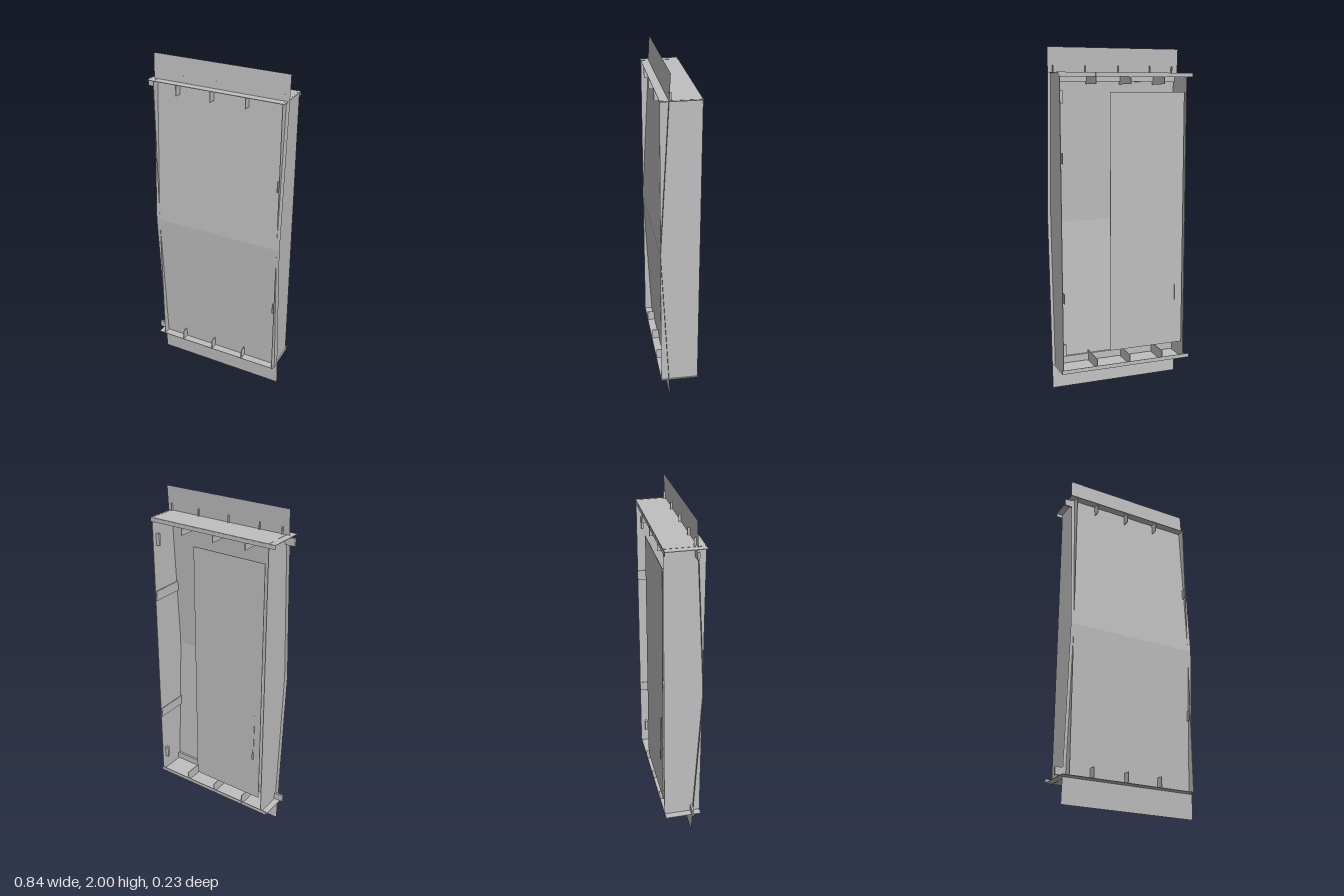
import * as THREE from 'three';

const steel = new THREE.MeshStandardMaterial({ color: 0xbfbfbf, side: THREE.DoubleSide });
steel.name = 'plain grey steel';

const T = 0.003; // sheet thickness
const MID_X = 0.02; // centre line of the frame

export function createModel() {
  const model = new THREE.Group();
  model.name = 'framedPanel';

  const add = (name, geometry) => {
    const mesh = new THREE.Mesh(geometry, steel);
    mesh.name = name;
    model.add(mesh);
    return mesh;
  };

  // Box given by its limits on each axis
  const box = (name, [x0, x1], [y0, y1], [z0, z1]) => {
    const mesh = add(name, new THREE.BoxGeometry(x1 - x0, y1 - y0, z1 - z0));
    mesh.position.set((x0 + x1) / 2, (y0 + y1) / 2, (z0 + z1) / 2);
    return mesh;
  };

  // Front sheet, folded outward along its horizontal centre line
  for (const top of [false, true]) {
    const sheet = new THREE.PlaneGeometry(0.8, 1);
    sheet.translate(MID_X, top ? 1.5 : 0.5, 0);
    const p = sheet.attributes.position;
    for (let i = 0; i < p.count; i++) {
      p.setZ(i, 0.115 - 0.055 * Math.abs(p.getY(i) - 1));
    }
    sheet.computeVertexNormals();
    add(top ? 'upperFrontSheet' : 'lowerFrontSheet', sheet);
  }

  // Side plates with straps on the inner faces
  for (const s of [-1, 1]) {
    const x = MID_X + s * 0.38;
    box('sidePlate', [x - T / 2, x + T / 2], [0.14, 1.86], [-0.105, 0.113]);
  }
  for (const y of [0.59, 1.39]) {
    box('sideStrap', [0.388, 0.392], [y - 0.03, y + 0.03], [-0.107, 0.115]);
  }

  // Top and bottom assemblies are mirrored about mid height
  for (const top of [false, true]) {
    const range = (a, b) => (top ? [2 - b, 2 - a] : [a, b]);
    const end = top ? 'top' : 'bottom';
    box(end + 'Plate', [-0.4, 0.41], range(0.141, 0.144), [-0.106, 0.113]);
    box(end + 'BackLip', [-0.4, 0.41], range(0.144, 0.165), [-0.107, -0.104]);
    box(end + 'Rail', [-0.42, 0.4], range(0.148, 0.19), [0.054, 0.066]);
    for (const x of [-0.22, -0.013, 0.193]) {
      box(end + 'Rib', [x - 0.002, x + 0.002], range(0.144, 0.205), [-0.108, 0.113]);
    }
    // Small latch inside the open bay
    box(end + 'Latch', [0.375, 0.397], range(0.24, 0.31), [-0.08, -0.065]);
  }

  // Thin tabs standing above the top plate
  for (const x of [-0.34, -0.2, 0, 0.2, 0.39]) {
    box('topTab', [x - 0.002, x + 0.002], [1.85, 1.9], [0.053, 0.066]);
  }

  // Single rear panel, leaving the other bay open
  box('rearPanel', [-0.345, 0.112], [0.25, 1.75], [-0.108, -0.105]);

  // Slim slanted pull bar on the rear panel
  const bar = box('pullBar', [-0.305, -0.295], [0.52, 0.82], [-0.1125, -0.1095]);
  bar.rotation.x = 0.02;

  return model;
}
